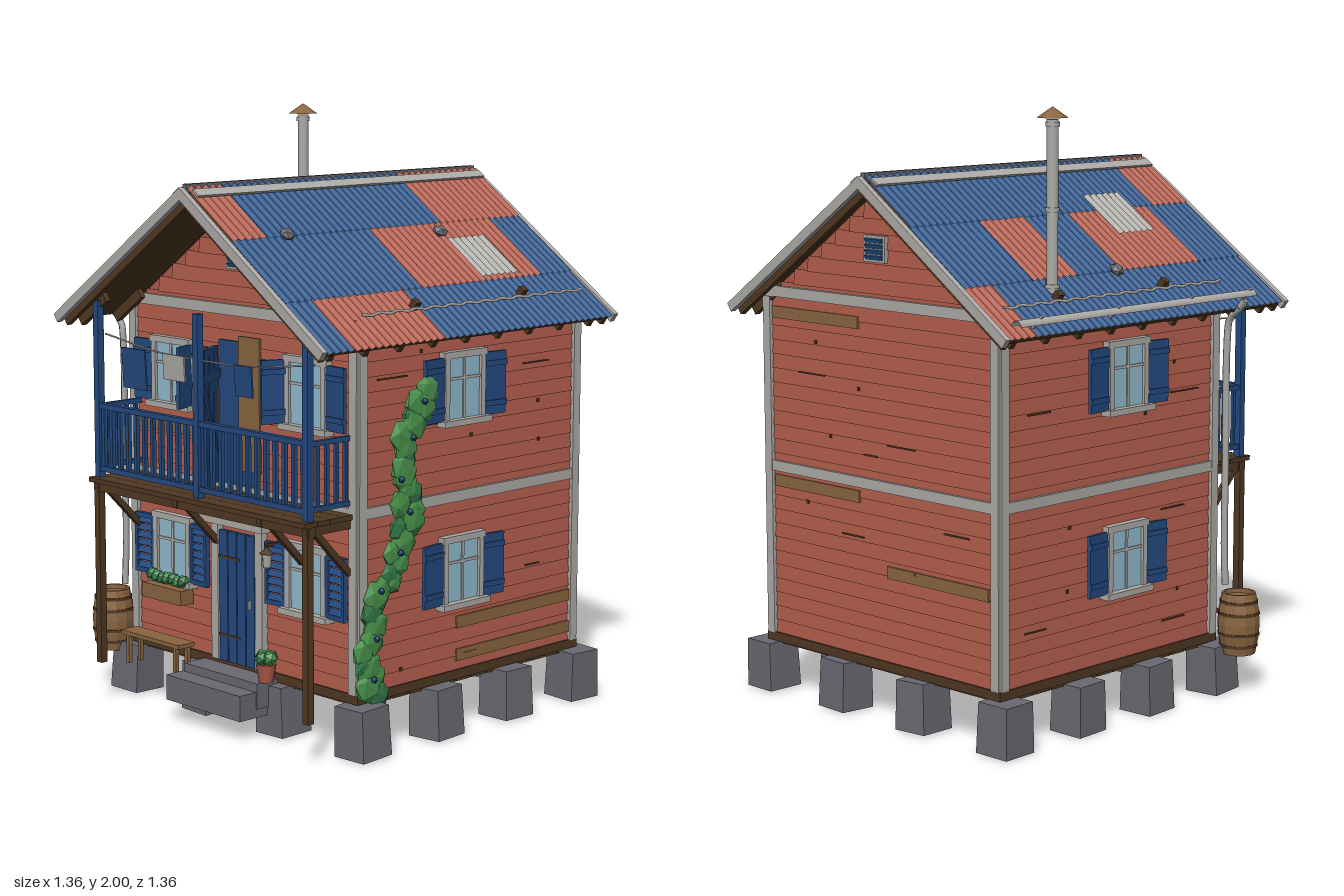
import * as THREE from 'three';

const mat = (name, color) => Object.assign(new THREE.MeshStandardMaterial({ color }), { name });

export function createModel() {
  const root = new THREE.Group();
  const red = mat('brick red paint', 0xae5b4a), blue = mat('roof blue', 0x2a5487), deepBlue = mat('joinery blue', 0x244a80);
  const trim = mat('pale grey', 0xaeaca8), timber = mat('dark timber', 0x503823), glass = mat('glass', 0x93bccf);
  const stone = mat('stone grey', 0x6a6972), wood = mat('worn wood', 0x8a6540);
  const leaf = mat('leaf green', 0x4b954d), darkLeaf = mat('dark leaf green', 0x347a49);
  for (const m of [red, blue, trim]) m.side = THREE.DoubleSide;

  let seed = 7;
  const rnd = () => (seed = (seed * 16807) % 2147483647) / 2147483647;
  const add = (p, name, geo, m, x = 0, y = 0, z = 0) => {
    const o = new THREE.Mesh(geo, m);
    o.name = name; o.position.set(x, y, z); p.add(o);
    return o;
  };
  const box = (p, name, m, w, h, d, x, y, z) => add(p, name, new THREE.BoxGeometry(w, h, d), m, x, y, z);
  const group = (p, name, x = 0, y = 0, z = 0, ry = 0) => {
    const g = new THREE.Group();
    g.name = name; g.position.set(x, y, z); g.rotation.y = ry; p.add(g);
    return g;
  };
  const flat = (g) => { const n = g.index ? g.toNonIndexed() : g; n.computeVertexNormals(); return n; };
  // bar of square section between two points
  const bar = (p, name, m, a, b, t) => {
    const A = new THREE.Vector3(...a), B = new THREE.Vector3(...b);
    const o = box(p, name, m, t, A.distanceTo(B), t, 0, 0, 0);
    o.position.copy(A).add(B).multiplyScalar(0.5);
    o.quaternion.setFromUnitVectors(new THREE.Vector3(0, 1, 0), B.sub(A).normalize());
    return o;
  };
  const tube = (p, name, m, pts, r) => add(p, name, new THREE.TubeGeometry(
    new THREE.CatmullRomCurve3(pts.map((q) => new THREE.Vector3(...q))), pts.length * 4, r, 6), m);

  const CX = 0.025, HW = 0.545, BACK = -0.6, FRONT = 0.43, CZ = (BACK + FRONT) / 2, DEPTH = FRONT - BACK;
  const RIDGE = 1.77, RUN = 0.645, DROP = 0.45, L = Math.hypot(RUN, DROP), PITCH = Math.atan2(DROP, RUN), SL = DROP / RUN;

  // foundation piers round the perimeter
  for (let i = 0; i < 4; i++) for (let j = 0; j < 4; j++) {
    if (i % 3 && j % 3) continue;
    const g = new THREE.CylinderGeometry(0.085, 0.091, 0.165, 4).rotateY(Math.PI / 4);
    const o = add(root, 'pier', flat(g), stone, -0.53 + i * 0.37, 0.0875, 0.418 - j * 0.335);
    o.rotation.set((rnd() - 0.5) * 0.08, (rnd() - 0.5) * 0.15, (rnd() - 0.5) * 0.08);
  }
  // floor with planks underneath
  box(root, 'floor', timber, 1.11, 0.03, DEPTH + 0.02, CX, 0.187, CZ);
  for (let i = 0; i < 14; i++) box(root, 'floorPlank', timber, 1.1, 0.012, 0.066, CX, 0.168, BACK + 0.04 + i * 0.0732);

  // wall core
  const pent = new THREE.Shape([[-HW, 0.2], [HW, 0.2], [HW, 1.355], [0, 1.735], [-HW, 1.355]].map(([x, y]) => new THREE.Vector2(x, y)));
  add(root, 'wallCore', new THREE.ExtrudeGeometry(pent, { depth: DEPTH - 0.02, bevelEnabled: false }).scale(0.985, 1, 1), red, CX, 0, BACK + 0.01);

  // walls: local +z faces outward
  const walls = {
    front: group(root, 'frontWall', CX, 0, FRONT), back: group(root, 'backWall', CX, 0, BACK, Math.PI),
    left: group(root, 'leftWall', CX + HW, 0, CZ, Math.PI / 2), right: group(root, 'rightWall', CX - HW, 0, CZ, -Math.PI / 2),
  };
  const P = 0.048;
  for (const [key, g] of Object.entries(walls)) {
    const gable = key === 'front' || key === 'back', half = gable ? HW : DEPTH / 2;
    for (let y = 0.2; y < (gable ? 1.68 : 1.33); y += P) {
      const w = gable ? Math.min(half, (1.73 - y - P) / SL) : half;
      if (w > 0.02) box(g, 'sidingBoard', red, w * 2, P + 0.004, 0.007, 0, y + P / 2, -0.003).rotation.x = -0.12;
    }
    for (const s of [-1, 1]) box(g, 'cornerTrim', trim, 0.034, 1.15, 0.014, s * (half - 0.012), 0.775, 0.006);
    box(g, 'middleBand', trim, half * 2, 0.035, 0.014, 0, 0.78, 0.005);
    if (gable) {
      box(g, 'gableBand', trim, half * 2, 0.036, 0.014, 0, 1.37, 0.005);
      box(g, 'ventFrame', trim, 0.1, 0.085, 0.016, 0, 1.545, 0.006);
      for (let i = 0; i < 4; i++) box(g, 'ventSlat', blue, 0.08, 0.014, 0.012, 0, 1.518 + i * 0.018, 0.012).rotation.x = 0.4;
    }
    // weathering cracks
    for (let i = 0; i < 12; i++) box(g, 'crack', timber, i % 2 ? 0.01 : 0.05 + rnd() * 0.09, i % 2 ? 0.012 : 0.005, 0.004,
      (rnd() - 0.5) * half * 1.5, 0.25 + rnd() * 1.05, 0.005);
  }
  const stain = (g, x, y, w, h = 0.04) => box(g, 'wornBoard', wood, w, h, 0.008, x, y, 0.003);
  stain(walls.front, -0.33, 0.95, 0.4); stain(walls.left, 0.21, 0.36, 0.56); stain(walls.left, 0.21, 0.25, 0.56);
  stain(walls.back, -0.3, 1.3, 0.42); stain(walls.back, -0.3, 0.73, 0.42); stain(walls.back, 0.27, 0.5, 0.46);

  // shuttered windows; swing holds the opening angle of the two shutters
  const windowUnit = (g, x, y, louvre, sw, swing = [0.08, 0.08]) => {
    const u = group(g, 'window', x, y, 0);
    box(u, 'windowPane', glass, 0.17, 0.2, 0.01, 0, 0, 0.009);
    [-1, 1].forEach((s, side) => {
      box(u, 'windowJamb', trim, 0.02, 0.22, 0.024, s * 0.083, 0, 0.012);
      const sh = group(group(u, 'shutterHinge', s * 0.095, 0, 0.014, -s * swing[side]), 'shutter', s * sw / 2, 0, 0);
      if (louvre) {
        for (const e of [-1, 1]) {
          box(sh, 'shutterStile', deepBlue, 0.012, 0.205, 0.016, e * (sw / 2 - 0.006), 0, 0);
          box(sh, 'shutterRail', deepBlue, sw, 0.016, 0.016, 0, e * 0.095, 0);
        }
        for (let i = 0; i < 7; i++) box(sh, 'louvre', deepBlue, sw - 0.02, 0.022, 0.005, 0, -0.078 + i * 0.026, 0).rotation.x = -0.6;
      } else {
        box(sh, 'shutterPanel', deepBlue, sw, 0.205, 0.012, 0, 0, 0);
        for (const e of [-1, 1]) box(sh, 'shutterBatten', deepBlue, sw, 0.018, 0.01, 0, e * 0.065, 0.006);
      }
    });
    box(u, 'windowHead', trim, 0.2, 0.022, 0.026, 0, 0.108, 0.013);
    box(u, 'windowSill', trim, 0.22, 0.02, 0.04, 0, -0.11, 0.02);
    box(u, 'muntin', trim, 0.01, 0.2, 0.012, 0, 0, 0.012);
    box(u, 'muntin', trim, 0.16, 0.009, 0.012, 0, 0.03, 0.012);
  };
  for (const s of [-1, 1]) {
    windowUnit(walls.front, s * 0.328, 0.535, true, 0.09);
    windowUnit(walls.front, s * 0.328, 1.135, false, 0.085, s < 0 ? [0.08, 1.2] : [1.2, 0.08]);
  }
  for (const y of [0.535, 1.135]) { windowUnit(walls.left, -0.055, y, false, 0.092); windowUnit(walls.right, 0.055, y, false, 0.092); }

  // plank door leaf, hinged at its left edge
  const doorLeaf = (p, name, w, h, x, y, z, ry) => {
    const d = group(p, name, x, y, z, ry);
    for (let i = 0; i < 4; i++) box(d, 'doorPlank', deepBlue, w / 4 - 0.004, h, 0.016, (i + 0.5) * w / 4, h / 2, 0);
    box(d, 'doorCore', deepBlue, w, h - 0.005, 0.006, w / 2, h / 2, 0);
    for (const t of [0.2, 0.8]) {
      box(d, 'doorLedge', deepBlue, w - 0.01, 0.03, 0.012, w / 2, h * t, -0.01);
      box(d, 'strapHinge', timber, w * 0.6, 0.008, 0.02, w * 0.3, h * t, 0.001);
    }
    bar(d, 'doorBrace', deepBlue, [0.02, h * 0.2, -0.008], [w - 0.02, h * 0.8, -0.008], 0.016);
    box(d, 'doorHandle', trim, 0.008, 0.03, 0.03, w - 0.02, h * 0.48, 0);
  };
  doorLeaf(root, 'frontDoor', 0.175, 0.44, -0.06, 0.2, 0.445, 0);
  for (const x of [-0.08, 0.135]) box(root, 'doorJamb', trim, 0.034, 0.46, 0.03, x, 0.43, 0.44);
  box(root, 'doorLintel', trim, 0.33, 0.045, 0.06, 0.025, 0.69, 0.46);
  box(root, 'balconyDoorway', deepBlue, 0.19, 0.47, 0.008, 0.03, 1.035, 0.44);
  box(root, 'doorCurtain', wood, 0.1, 0.44, 0.008, 0.088, 1.07, 0.446);
  doorLeaf(root, 'balconyDoor', 0.185, 0.45, -0.07, 0.8, 0.45, -1.05);

  // steps
  box(root, 'upperStep', stone, 0.36, 0.085, 0.1, 0.03, 0.142, 0.48);
  box(root, 'lowerStep', stone, 0.365, 0.085, 0.12, 0.022, 0.113, 0.54);

  // balcony
  const bal = group(root, 'balcony');
  for (let i = 0; i < 4; i++) box(bal, 'deckPlank', timber, 1.06, 0.016, 0.052, 0.03, 0.772, 0.46 + i * 0.053);
  box(bal, 'deckBeam', timber, 1.05, 0.035, 0.03, 0.03, 0.75, 0.61);
  for (const x of [-0.48, -0.075, 0.33, 0.54]) {
    box(bal, 'joist', timber, 0.022, 0.03, 0.2, x, 0.75, 0.53);
    bar(bal, 'deckBrace', timber, [x, 0.745, 0.59], [x, 0.59, 0.44], 0.02);
  }
  for (const x of [-0.48, 0.54]) {
    box(bal, 'lowerPost', timber, 0.025, 0.62, 0.025, x, 0.45, 0.615);
    for (const y of [0.815, 1.02]) box(bal, 'sideRail', deepBlue, 0.016, 0.016, 0.18, x, y, 0.525);
    for (let i = 0; i < 4; i++) box(bal, 'sideBaluster', deepBlue, 0.012, 0.2, 0.012, x, 0.915, 0.455 + i * 0.04);
  }
  for (const x of [-0.48, 0.025, 0.535]) box(bal, 'upperPost', deepBlue, 0.025, 0.6, 0.025, x, 1.075, 0.61);
  for (const y of [0.81, 1.022]) box(bal, 'rail', deepBlue, 1.03, 0.018, 0.022, 0.03, y, 0.61);
  for (let i = 0; i < 24; i++) box(bal, 'baluster', deepBlue, 0.014, 0.2, 0.014, -0.455 + i * 0.0422, 0.915, 0.61);
  // washing line
  tube(bal, 'washingLine', trim, [[-0.48, 1.26, 0.58], [-0.2, 1.225, 0.58], [0.025, 1.22, 0.58], [0.25, 1.225, 0.58], [0.535, 1.26, 0.58]], 0.003);
  for (const [x, w, h, m] of [[-0.33, 0.12, 0.135, deepBlue], [-0.128, 0.105, 0.085, trim], [-0.012, 0.055, 0.1, trim], [0.21, 0.08, 0.1, deepBlue]])
    box(bal, 'laundry', m, w, h, 0.006, x, 1.225 - h / 2, 0.58).rotation.x = 0.06;

  // roof slopes: local x runs down from the ridge, y is outward
  const K = L / RUN;
  const sheet = (p, m, dx0, dx1, z0, z1, lift) => {
    const n = Math.max(6, Math.round((z1 - z0) * 200));
    const g = new THREE.PlaneGeometry((dx1 - dx0) * K, z1 - z0, 1, n).rotateX(-Math.PI / 2).translate((dx0 + dx1) / 2 * K, 0, (z0 + z1) / 2);
    const a = g.attributes.position;
    for (let i = 0; i < a.count; i++) a.setY(i, lift + 0.0042 * Math.sin(a.getZ(i) / 0.03 * Math.PI * 2) - a.getX(i) * 0.004);
    g.computeVertexNormals();
    add(p, 'corrugatedSheet', g, m);
  };
  // per row: plan run, then [z start, z end, material]
  const E = 0.66;
  const plans = {
    '1': [[0, 0.22, [[-E, -0.27, red], [-0.27, 0.52, blue], [0.52, E, red]]],
      [0.205, 0.46, [[-E, -0.51, blue], [-0.51, 0.07, red], [0.07, E, blue]]],
      [0.445, 0.65, [[-E, 0.14, blue], [0.14, 0.55, red], [0.55, E, blue]]]],
    '-1': [[0, 0.212, [[-E, 0.48, blue], [0.48, E, red]]],
      [0.2, 0.45, [[-E, -0.35, blue], [-0.35, -0.15, red], [-0.15, 0.05, blue], [0.05, 0.45, red], [0.45, E, blue]]],
      [0.435, 0.645, [[-E, -0.53, red], [-0.53, E, blue]]]],
  };
  const patches = { '1': [0.293, 0.453, -0.4, -0.22], '-1': [0.155, 0.32, 0.17, 0.35] };
  const stones = { '1': [[0.27, -0.2], [0.23, 0.45]], '-1': [[0.467, 0]] };
  for (const s of [1, -1]) {
    const r = group(root, s > 0 ? 'leftRoofSlope' : 'rightRoofSlope', CX, RIDGE, 0);
    r.rotation.set(0, s > 0 ? 0 : Math.PI, -PITCH);
    const zz = (a, b) => (s > 0 ? [a, b] : [-b, -a]);
    plans[s].forEach(([d0, d1, list], i) => list.forEach(([a, b, m]) => sheet(r, m, d0, d1, ...zz(a, b), 0.012 - i * 0.005)));
    const [d0, d1, a, b] = patches[s];
    sheet(r, trim, d0, d1, ...zz(a, b), 0.022);
    box(r, 'roofDeck', timber, L - 0.02, 0.012, 1.3, L / 2, -0.02, 0);
    for (const e of [-1, 1]) {
      box(r, 'bargeBoard', trim, L + 0.01, 0.032, 0.02, L / 2, -0.01, e * 0.672);
      box(r, 'innerBarge', timber, L - 0.02, 0.03, 0.02, L / 2, -0.033, e * 0.65);
    }
    box(r, 'ridgeFlashing', trim, 0.034, 0.008, 1.31, 0.044, 0.02, 0);
    for (let i = 0; i < 9; i++) box(r, 'rafterTail', timber, 0.16, 0.035, 0.02, L - 0.1, -0.042, -0.6 + i * 0.15);
    // snow rope on brackets
    const pts = [];
    for (let i = 0; i <= 26; i++) pts.push([0.55 * K + (i % 2 ? 0.004 : -0.004), 0.022, s * (-0.6 + i * 0.0396)]);
    tube(r, 'snowRope', trim, pts, 0.005);
    for (const z of [-0.33, 0.17]) box(r, 'ropeBracket', timber, 0.024, 0.03, 0.024, 0.526 * K, 0.014, s * z);
    for (const [d, z] of stones[s]) {
      const o = add(r, 'roofStone', new THREE.IcosahedronGeometry(0.026, 0), stone, d * K, 0.03, s * z);
      o.scale.set(1, 0.7, 1.1); o.rotation.y = d * 9;
    }
  }
  box(root, 'ridgeCap', stone, 0.018, 0.028, 1.32, CX, RIDGE + 0.004, 0);

  // stove pipe
  const pipe = group(root, 'stovePipe', -0.46, 0, -0.305);
  add(pipe, 'pipe', new THREE.CylinderGeometry(0.019, 0.019, 0.56, 12), trim, 0, 1.68, 0);
  for (const y of [1.44, 1.68, 1.945]) add(pipe, 'pipeCollar', new THREE.CylinderGeometry(0.023, 0.023, 0.014, 12), trim, 0, y, 0);
  add(pipe, 'pipeCap', flat(new THREE.ConeGeometry(0.05, 0.035, 8)), wood, 0, 1.982, 0);

  // gutter, downpipe and rain barrel
  add(root, 'gutter', new THREE.CylinderGeometry(0.02, 0.02, 1.12, 10, 1, true, Math.PI / 2, Math.PI).rotateX(Math.PI / 2), trim, -0.638, 1.36, -0.09);
  for (const z of [-0.55, -0.2, 0.15, 0.45]) bar(root, 'gutterBracket', trim, [-0.65, 1.385, z], [-0.61, 1.345, z], 0.008);
  tube(root, 'downpipe', trim, [[-0.635, 1.345, 0.44], [-0.61, 1.315, 0.44], [-0.57, 1.28, 0.44], [-0.56, 1.2, 0.44], [-0.56, 0.8, 0.44], [-0.56, 0.5, 0.44], [-0.562, 0.37, 0.445]], 0.012);
  const barrel = group(root, 'rainBarrel', -0.61, 0.14, 0.46);
  const prof = [[0, 0], [0.058, 0], [0.069, 0.06], [0.072, 0.105], [0.069, 0.15], [0.058, 0.21], [0.05, 0.21], [0.05, 0.195], [0, 0.195]];
  add(barrel, 'barrelStaves', flat(new THREE.LatheGeometry(prof.map((q) => new THREE.Vector2(...q)), 12)), wood);
  for (const [y, r] of [[0.03, 0.066], [0.07, 0.072], [0.14, 0.072], [0.18, 0.066]])
    add(barrel, 'barrelHoop', new THREE.CylinderGeometry(r, r, 0.01, 12), timber, 0, y, 0);

  // planter, bench, flower pot and lantern
  box(root, 'windowBox', wood, 0.2, 0.05, 0.055, -0.31, 0.385, 0.465);
  for (let i = 0; i < 7; i++) add(root, 'windowBoxPlant', new THREE.IcosahedronGeometry(0.024, 0), i % 2 ? leaf : darkLeaf, -0.39 + i * 0.027, 0.428 + rnd() * 0.012, 0.465);
  box(root, 'benchSeat', wood, 0.3, 0.014, 0.07, -0.3, 0.24, 0.52);
  for (const x of [-0.42, -0.175]) for (const z of [0.495, 0.545]) box(root, 'benchLeg', wood, 0.014, 0.1, 0.014, x, 0.185, z);
  add(root, 'flowerPot', new THREE.CylinderGeometry(0.034, 0.024, 0.06, 10), red, 0.21, 0.215, 0.49);
  for (let i = 0; i < 4; i++) add(root, 'potPlant', new THREE.IcosahedronGeometry(0.026, 0), i % 2 ? darkLeaf : leaf, 0.21 + 0.018 * Math.cos(i * 1.6), 0.265, 0.49 + 0.018 * Math.sin(i * 1.6));
  box(root, 'lanternArm', timber, 0.01, 0.01, 0.06, 0.21, 0.635, 0.46);
  add(root, 'lanternGlass', new THREE.CylinderGeometry(0.018, 0.014, 0.045, 6), trim, 0.21, 0.585, 0.485);
  add(root, 'lanternTop', new THREE.ConeGeometry(0.026, 0.022, 6), timber, 0.21, 0.618, 0.485);

  // climbing vine on the side wall
  const path = new THREE.CatmullRomCurve3([[0.37, 0.2], [0.41, 0.32], [0.36, 0.5], [0.28, 0.62], [0.23, 0.76], [0.25, 0.88], [0.22, 1.02], [0.15, 1.14]]
    .map(([z, y]) => new THREE.Vector3(0.592, y, z)));
  add(root, 'vineStem', new THREE.TubeGeometry(path, 30, 0.008, 5), timber);
  for (let i = 0; i < 32; i++) {
    const p = path.getPoint(i / 31);
    const o = add(root, 'vineLeaves', new THREE.IcosahedronGeometry(0.04 + rnd() * 0.022, 0), i % 4 ? leaf : darkLeaf,
      p.x, p.y + (rnd() - 0.5) * 0.02, p.z + (rnd() - 0.5) * 0.06);
    o.scale.x = 0.3; o.rotation.x = rnd() * 6;
    if (i % 4 === 2) add(root, 'vineFlower', new THREE.IcosahedronGeometry(0.012, 0), deepBlue, p.x + 0.018, p.y, p.z + (rnd() - 0.5) * 0.06);
  }
  return root;
}
